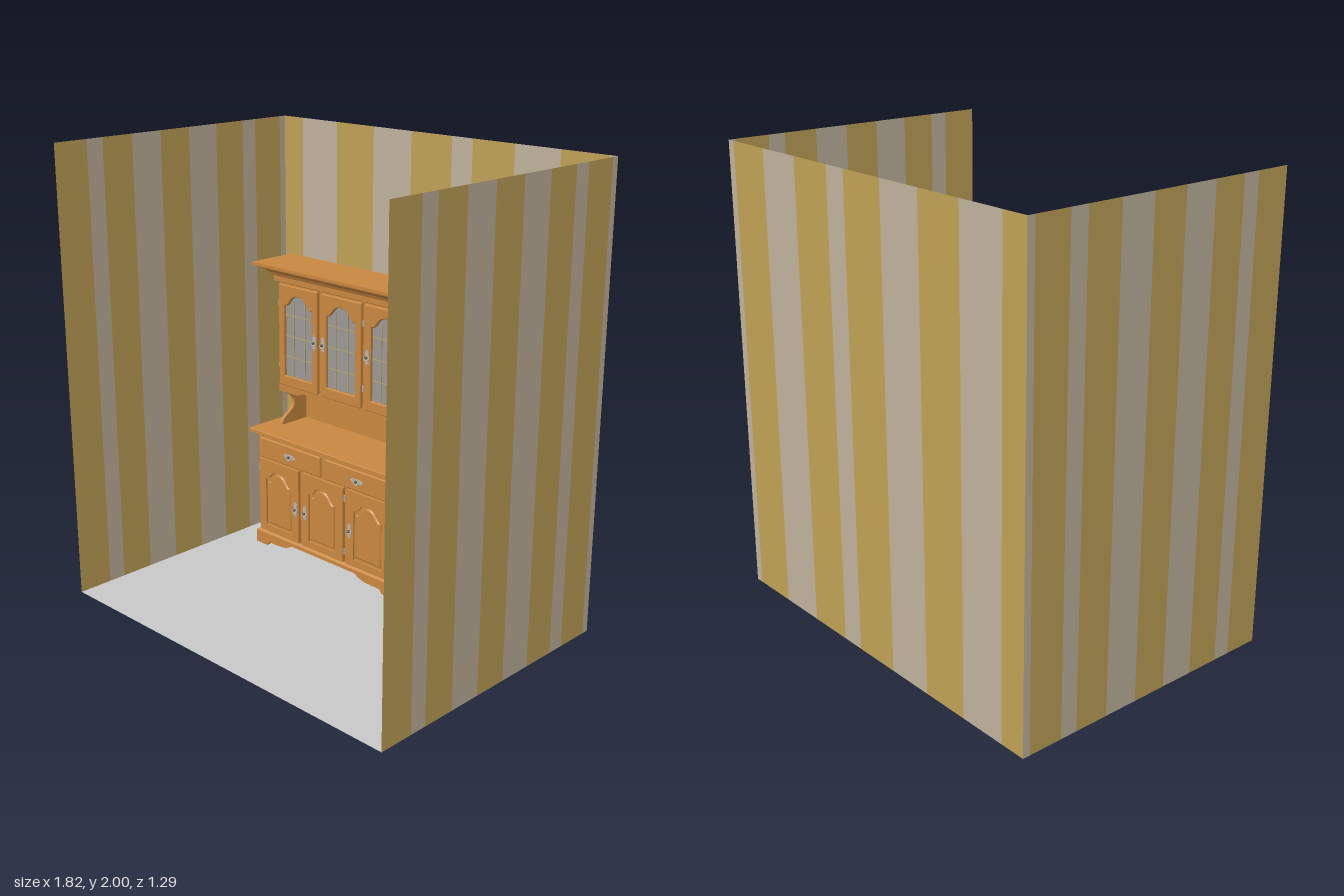
import * as THREE from 'three';

const mat = (name, color, side = THREE.FrontSide) => {
  const m = new THREE.MeshStandardMaterial({ color, side });
  m.name = name;
  return m;
};

export function createModel() {
  const root = new THREE.Group();
  root.name = 'roomWithDresser';
  const gold = mat('goldStripe', 0xbfa155, THREE.DoubleSide);
  const beige = mat('beigeStripe', 0xbfb29c, THREE.DoubleSide);
  const floorGrey = mat('floorGrey', 0xc8c8c8, THREE.DoubleSide);
  const wood = mat('warmWood', 0xc8873f);
  const glass = mat('glassGrey', 0x999896);
  const brass = mat('glazingBar', 0xb5a06a);
  const silver = mat('silver', 0xb9b5ac);
  const dark = mat('darkMetal', 0x5c564e);

  const add = (parent, name, geo, material, x = 0, y = 0, z = 0) => {
    const m = new THREE.Mesh(geo, material);
    m.name = name;
    m.position.set(x, y, z);
    parent.add(m);
    return m;
  };
  // Box given by its limits
  const box = (parent, name, x0, x1, y0, y1, z0, z1, material = wood) =>
    add(parent, name, new THREE.BoxGeometry(x1 - x0, y1 - y0, z1 - z0), material,
      (x0 + x1) / 2, (y0 + y1) / 2, (z0 + z1) / 2);
  const extrude = (shape, depth, bevel = 0) => new THREE.ExtrudeGeometry(shape, {
    depth, curveSegments: 10, bevelEnabled: bevel > 0, bevelSize: bevel,
    bevelThickness: bevel, bevelOffset: -bevel, bevelSegments: 1 });

  // ---- Room: floor and three striped walls ----
  const room = new THREE.Group();
  room.name = 'room';
  root.add(room);
  const floor = add(room, 'floor', new THREE.PlaneGeometry(1.82, 1.285), floorGrey);
  floor.rotation.x = -Math.PI / 2;
  const stripes = (name, cuts, place) => {
    for (let i = 0; i < cuts.length - 1; i++) {
      const w = Math.abs(cuts[i + 1] - cuts[i]);
      place(add(room, name, new THREE.PlaneGeometry(w, 2), i % 2 ? beige : gold),
        (cuts[i] + cuts[i + 1]) / 2);
    }
  };
  stripes('backWall', [-0.91, -0.79, -0.57, -0.345, -0.125, 0.10, 0.21, 0.427, 0.65, 0.872, 0.91],
    (m, c) => m.position.set(c, 1, -0.643));
  for (const s of [-1, 1]) {
    stripes(s > 0 ? 'leftWall' : 'rightWall',
      [0.643, 0.483, 0.403, 0.25, 0.096, -0.063, -0.22, -0.376, -0.455, -0.61, -0.643],
      (m, c) => { m.position.set(s * 0.91, 1, c); m.rotation.y = -s * Math.PI / 2; });
  }

  // ---- Dresser, built around its own centre line ----
  const dresser = new THREE.Group();
  dresser.name = 'dresser';
  dresser.position.x = -0.313;
  root.add(dresser);
  const BACK = -0.58, BASE = -0.3, UPPER = -0.42;

  // Moulding lofted through rectangles [overhang, y], flat at the back
  const moulding = (name, half, front, levels) => {
    const rings = levels.map(([o, y]) => [[-half - o, y, BACK], [-half - o, y, front + o],
      [half + o, y, front + o], [half + o, y, BACK]]);
    const pos = [];
    const quad = (a, b, c, d) => pos.push(...a, ...b, ...c, ...a, ...c, ...d);
    for (let i = 0; i < rings.length - 1; i++) {
      for (let k = 0; k < 4; k++) {
        const n = (k + 1) % 4;
        quad(rings[i][k], rings[i][n], rings[i + 1][n], rings[i + 1][k]);
      }
    }
    quad(...rings[rings.length - 1]);
    quad(...[...rings[0]].reverse());
    const g = new THREE.BufferGeometry();
    g.setAttribute('position', new THREE.Float32BufferAttribute(pos, 3));
    g.computeVertexNormals();
    add(dresser, name, g, wood);
  };

  // Cathedral arch outline: straight sides, small shoulders, curved top
  const arch = (S, w, y0, yS, yT) => {
    const s = new S(), h = w / 2;
    s.moveTo(-h, y0);
    s.lineTo(h, y0);
    s.lineTo(h, yS);
    s.lineTo(h * 0.85, yS);
    s.bezierCurveTo(h * 0.55, yS + (yT - yS) * 0.3, h * 0.5, yT, 0, yT);
    s.bezierCurveTo(-h * 0.5, yT, -h * 0.55, yS + (yT - yS) * 0.3, -h * 0.85, yS);
    s.lineTo(-h, yS);
    s.lineTo(-h, y0);
    return s;
  };
  const rect = (w, y0, y1) => {
    const s = new THREE.Shape();
    s.moveTo(-w / 2, y0);
    s.lineTo(w / 2, y0);
    s.lineTo(w / 2, y1);
    s.lineTo(-w / 2, y1);
    s.closePath();
    return s;
  };

  // Scalloped silver plate with a dark knob; turned sideways on drawers
  const handle = (x, y, z, sideways) => {
    const g = new THREE.Group();
    g.name = 'handle';
    const pts = [];
    for (let i = 0; i < 32; i++) {
      const a = i / 32 * Math.PI * 2, r = 1 + 0.15 * Math.cos(a * 8);
      pts.push(new THREE.Vector2(Math.cos(a) * 0.012 * r, Math.sin(a) * 0.036 * r));
    }
    add(g, 'handlePlate', extrude(new THREE.Shape(pts), 0.003), silver);
    add(g, 'handleKnob', new THREE.SphereGeometry(0.007, 12, 8), dark, 0, 0, 0.009);
    const bail = add(g, 'handleBail', new THREE.TorusGeometry(0.016, 0.0025, 6, 14, Math.PI), silver, 0, 0, 0.006);
    bail.rotation.z = sideways ? Math.PI / 2 : Math.PI;
    g.position.set(x, y, z);
    if (sideways) g.rotation.z = Math.PI / 2;
    dresser.add(g);
  };
  const hinges = (x, ys, z) => {
    for (const y of ys) add(dresser, 'hinge', new THREE.CylinderGeometry(0.004, 0.004, 0.03, 8), silver, x, y, z);
  };

  // Base cabinet, plinth moulding and counter
  box(dresser, 'baseCabinet', -0.432, 0.432, 0.06, 0.56, BACK, BASE);
  moulding('plinthMoulding', 0.432, BASE, [[0.014, 0.045], [0.014, 0.062], [0.002, 0.072]]);
  moulding('counter', 0.438, BASE, [[0, 0.55], [0.015, 0.562], [0.03, 0.565], [0.03, 0.58], [0.027, 0.585]]);

  // Curved bracket feet, front and sides
  const foot = (len) => {
    const s = new THREE.Shape();
    s.moveTo(0, 0);
    s.lineTo(len * 0.3, 0);
    s.bezierCurveTo(len * 0.36, 0.03, len * 0.45, 0.015, len * 0.6, 0.02);
    s.bezierCurveTo(len * 0.85, 0.02, len * 0.9, 0.035, len, 0.046);
    s.lineTo(0, 0.046);
    s.closePath();
    return extrude(s, 0.018);
  };
  for (const s of [-1, 1]) {
    const front = add(dresser, 'frontFoot', foot(0.245), wood, s * 0.446, 0, s < 0 ? -0.304 : -0.286);
    if (s > 0) front.rotation.y = Math.PI;
    const x = s * 0.437;
    add(dresser, 'sideFoot', foot(0.11), wood, x + 0.009, 0, BACK).rotation.y = -Math.PI / 2;
    add(dresser, 'sideFoot', foot(0.11), wood, x - 0.009, 0, -0.287).rotation.y = Math.PI / 2;
  }

  // Drawers with a raised front
  for (const s of [-1, 1]) {
    const x = s * 0.216;
    add(dresser, 'drawer', extrude(rect(0.4, 0.448, 0.545), 0.006, 0.004), wood, x, 0, BASE + 0.002);
    handle(x, 0.495, BASE + 0.012, true);
  }

  // Three lower doors: slab, arched frame and raised panel
  [-0.286, 0.001, 0.287].forEach((x, i) => {
    add(dresser, 'lowerDoorSlab', extrude(rect(0.262, 0.077, 0.44), 0.006), wood, x, 0, BASE);
    const frame = rect(0.262, 0.077, 0.44);
    frame.holes.push(arch(THREE.Path, 0.176, 0.11, 0.348, 0.398));
    add(dresser, 'lowerDoorFrame', extrude(frame, 0.009), wood, x, 0, BASE + 0.006);
    add(dresser, 'lowerDoorPanel', extrude(arch(THREE.Shape, 0.15, 0.122, 0.335, 0.383), 0.001, 0.006),
      wood, x, 0, BASE + 0.008);
    handle(x + (i ? -0.112 : 0.112), 0.245, BASE + 0.015, false);
    hinges(x + (i ? 0.135 : -0.135), [0.13, 0.39], BASE + 0.008);
  });

  // Back board and curved side brackets between counter and upper cabinet
  box(dresser, 'backBoard', -0.4, 0.4, 0.58, 0.8, BACK, BACK + 0.015);
  const bracket = new THREE.Shape();
  bracket.moveTo(BACK, 0.58);
  bracket.lineTo(-0.4, 0.58);
  bracket.bezierCurveTo(-0.41, 0.64, -0.49, 0.63, -0.485, 0.69);
  bracket.bezierCurveTo(-0.48, 0.73, -0.43, 0.72, UPPER, 0.77);
  bracket.lineTo(UPPER, 0.79);
  bracket.lineTo(BACK, 0.79);
  bracket.closePath();
  for (const x of [-0.382, 0.4]) {
    add(dresser, 'sideBracket', extrude(bracket, 0.018), wood, x, 0, 0).rotation.y = -Math.PI / 2;
  }

  // Upper cabinet, scalloped valance and crown
  box(dresser, 'upperCabinet', -0.406, 0.406, 0.785, 1.3, BACK, UPPER);
  const valance = new THREE.Shape();
  valance.moveTo(-0.41, 0.79);
  valance.lineTo(-0.41, 0.75);
  for (let i = 0; i <= 56; i++) {
    const x = -0.3 + i * 0.6 / 56;
    valance.lineTo(x, 0.757 - 0.008 * Math.cos(i / 56 * Math.PI * 10));
  }
  valance.lineTo(0.41, 0.75);
  valance.lineTo(0.41, 0.79);
  valance.closePath();
  add(dresser, 'valance', extrude(valance, 0.016), wood, 0, 0, UPPER - 0.008);
  moulding('crown', 0.408, UPPER, [[0, 1.275], [0.018, 1.283], [0.018, 1.308], [0.027, 1.312],
    [0.034, 1.325], [0.05, 1.338], [0.072, 1.347], [0.075, 1.355], [0.089, 1.357], [0.089, 1.37]]);

  // Three glazed doors with glazing bars
  [-0.272, 0.001, 0.275].forEach((x, i) => {
    const frame = rect(0.25, 0.787, 1.272);
    frame.holes.push(arch(THREE.Path, 0.18, 0.836, 1.175, 1.228));
    add(dresser, 'glassDoorFrame', extrude(frame, 0.014, 0.003), wood, x, 0, UPPER + 0.002);
    add(dresser, 'glassPane', new THREE.ShapeGeometry(arch(THREE.Shape, 0.188, 0.832, 1.178, 1.232)),
      glass, x, 0, UPPER + 0.004);
    for (const dx of [-0.036, 0.036]) {
      box(dresser, 'glazingBar', x + dx - 0.002, x + dx + 0.002, 0.834, 1.2, UPPER + 0.004, UPPER + 0.008, brass);
    }
    for (const y of [0.93, 1.03, 1.13]) {
      box(dresser, 'glazingBar', x - 0.092, x + 0.092, y - 0.0015, y + 0.0015, UPPER + 0.004, UPPER + 0.008, brass);
    }
    handle(x + (i ? -0.109 : 0.109), 1.035, UPPER + 0.019, false);
    hinges(x + (i ? 0.131 : -0.131), [0.88, 1.18], UPPER + 0.008);
  });

  return root;
}
